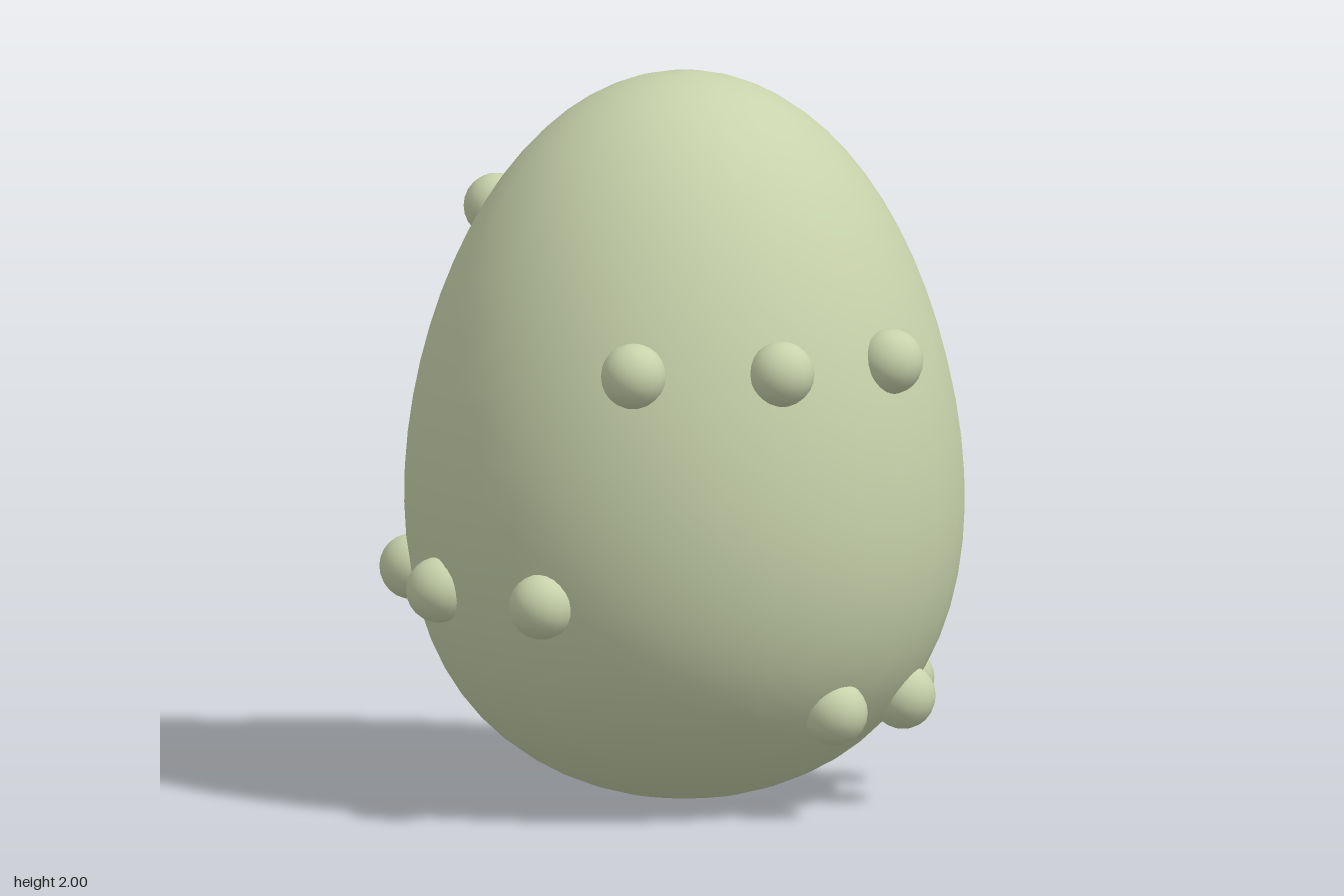
import * as THREE from 'three';

const CENTER_Z = 0.015;

// Egg radius at height y: a unit circle widened towards the bottom
function eggRadius(y) {
  const c = y - 1;
  return Math.sqrt(Math.max(0, 1 - c * c)) * (0.757 - 0.115 * c + 0.06 * c * c);
}

export function createModel() {
  const group = new THREE.Group();
  group.name = 'bumpyEgg';
  const shell = new THREE.MeshStandardMaterial({ color: 0xc8d2ab });
  shell.name = 'pale sage green';

  // Egg body, turned from bottom to top
  const profile = [];
  const steps = 32;
  for (let i = 0; i <= steps; i++) {
    const y = 1 - Math.cos((i / steps) * Math.PI);
    profile.push(new THREE.Vector2(i % steps ? eggRadius(y) : 0, y));
  }
  const egg = new THREE.Mesh(new THREE.LatheGeometry(profile, 32), shell);
  egg.name = 'eggBody';
  egg.position.z = CENTER_Z;
  group.add(egg);

  // Rows of three round bumps (two on the top row), centred on the shell;
  // angles in degrees from the front (+z) towards +x
  const rows = [
    { name: 'topBump', y: 1.59, angles: [-68, -100] },
    { name: 'upperBump', y: 1.265, angles: [37, 70.5, 101.5] },
    { name: 'backBump', y: 0.945, angles: [175.5, -152, -120] },
    { name: 'frontBump', y: 0.62, angles: [-48, -15.2, 17] },
    { name: 'lowerBump', y: 0.3, angles: [90, 123, 155] },
  ];
  const bumpGeometry = new THREE.SphereGeometry(0.09, 16, 12);
  for (const { name, y, angles } of rows) {
    angles.forEach((degrees, i) => {
      const a = THREE.MathUtils.degToRad(degrees);
      const r = eggRadius(y);
      const bump = new THREE.Mesh(bumpGeometry, shell);
      bump.name = name + (i + 1);
      bump.position.set(Math.sin(a) * r, y, CENTER_Z + Math.cos(a) * r);
      bump.rotation.y = a;
      group.add(bump);
    });
  }
  return group;
}
